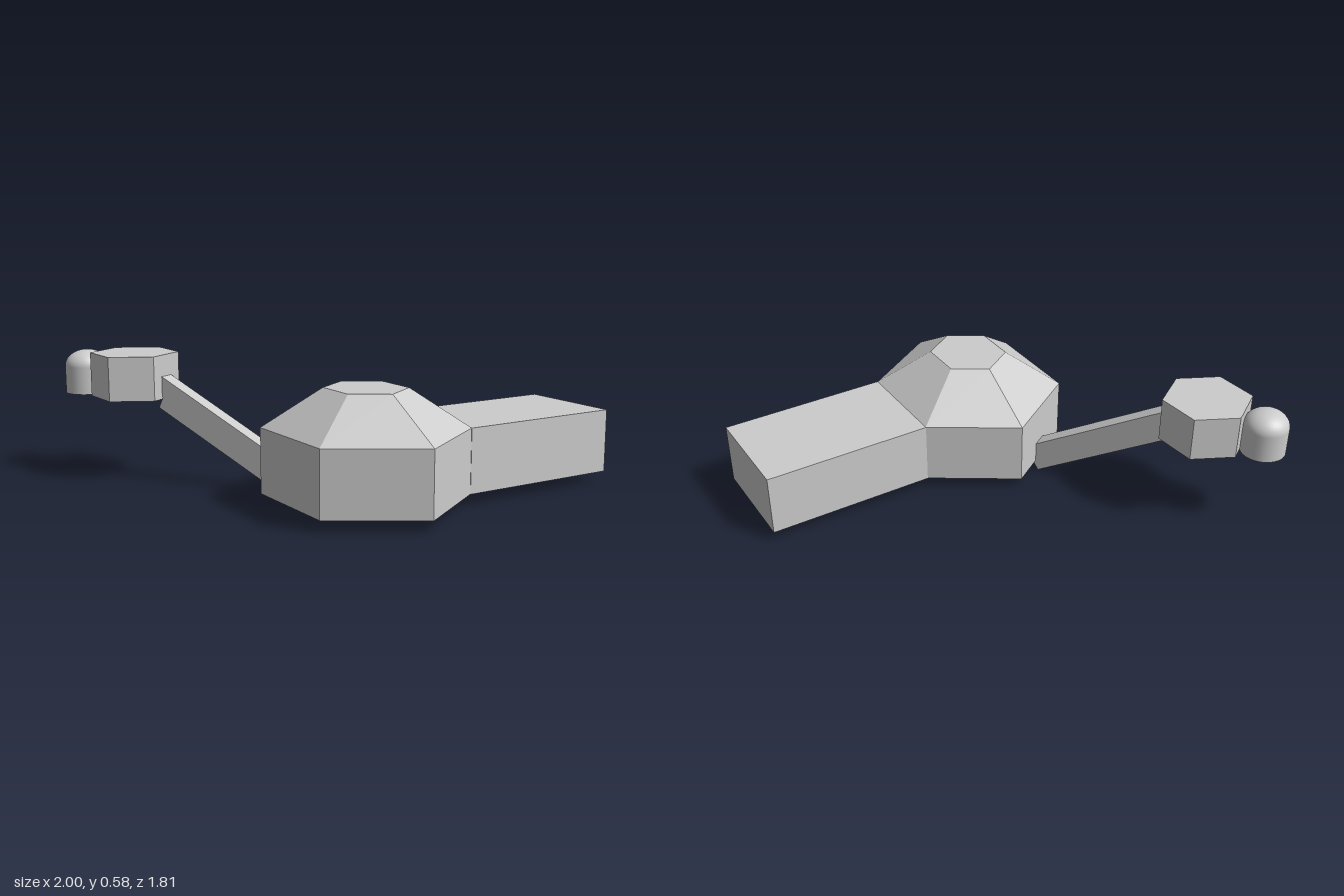
import * as THREE from 'three';

export function createModel() {
  const model = new THREE.Group();
  model.name = 'hexagonalStation';
  const flatGrey = new THREE.MeshStandardMaterial({ color: 0xcccccc });
  flatGrey.name = 'light grey';

  const add = (name, geometry, x, y, z) => {
    const mesh = new THREE.Mesh(geometry, flatGrey);
    mesh.name = name;
    mesh.position.set(x, y, z);
    model.add(mesh);
    return mesh;
  };

  // Six-sided prism or frustum with crisp faces, points along z
  const hexagon = (topRadius, bottomRadius, height) => {
    const g = new THREE.CylinderGeometry(topRadius, bottomRadius, height, 6).toNonIndexed();
    g.computeVertexNormals();
    return g;
  };

  // Main hall with its sloping roof, slightly narrowed in x
  const hallX = -0.145, hallZ = 0.423, squeeze = 0.894;
  add('mainHall', hexagon(0.478, 0.478, 0.285), hallX, 0.1925, hallZ).scale.x = squeeze;
  add('hallRoof', hexagon(0.194, 0.478, 0.17), hallX, 0.42, hallZ).scale.x = squeeze;

  // Long side wing
  add('sideWing', new THREE.BoxGeometry(0.775, 0.285, 0.482), 0.6125, 0.1925, hallZ);

  // Sloping passage up to the small room; its lower lip ends square to the slope
  const profile = new THREE.Shape([
    [0, 0], [0.613, 0.34], [0.59, 0.39], [0.66, 0.40], [0.66, 0.519], [-0.064, 0.117],
  ].map(([x, y]) => new THREE.Vector2(x, y)));
  const passage = new THREE.ExtrudeGeometry(profile, { depth: 0.076, bevelEnabled: false });
  passage.translate(0, 0, -0.038);
  add('slopingPassage', passage, -0.325, 0, 0.048).rotation.y = 2.166;

  // Small raised room
  add('smallRoom', hexagon(0.2, 0.2, 0.2), -0.75, 0.48, -0.59).rotation.y = 0.05;

  // Round turret with a low dome
  const turretX = -0.9, turretZ = -0.807;
  add('turret', new THREE.CylinderGeometry(0.1, 0.1, 0.125, 32), turretX, 0.4425, turretZ);
  const dome = new THREE.SphereGeometry(0.1, 32, 10, 0, Math.PI * 2, 0, Math.PI / 2);
  add('turretDome', dome, turretX, 0.505, turretZ).scale.y = 0.75;

  return model;
}
